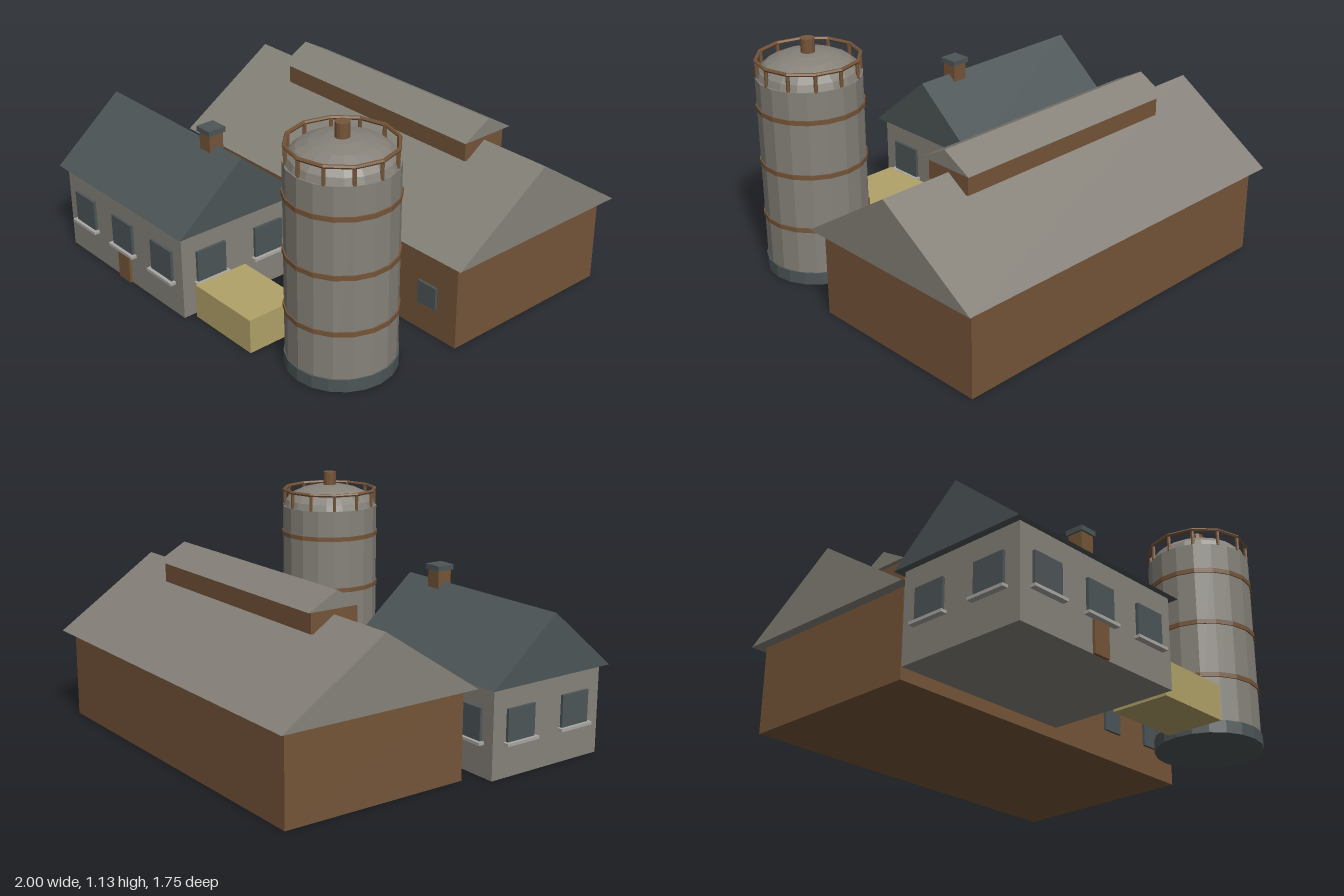
import * as THREE from 'three';

export function createModel() {
  const mat = (name, color) => {
    const m = new THREE.MeshStandardMaterial({ color, flatShading: true });
    m.name = name;
    return m;
  };
  const stone = mat('grey stone', 0x86827a);
  const wood = mat('brown wood', 0x755539);
  const slate = mat('dark slate', 0x4d5557);
  const hay = mat('hay', 0xb2a268);
  const trim = mat('pale trim', 0xa9a7a2);

  const model = new THREE.Group();
  const group = (name) => {
    const g = new THREE.Group();
    g.name = name;
    model.add(g);
    return g;
  };
  const add = (parent, name, geo, material, x = 0, y = 0, z = 0) => {
    const m = new THREE.Mesh(geo, material);
    m.name = name;
    m.position.set(x, y, z);
    parent.add(m);
    return m;
  };
  // box given by its lower and upper corner
  const box = (parent, name, material, x0, x1, y0, y1, z0, z1) =>
    add(parent, name, new THREE.BoxGeometry(x1 - x0, y1 - y0, z1 - z0), material,
      (x0 + x1) / 2, (y0 + y1) / 2, (z0 + z1) / 2);
  // solid gable roof with its ridge along x
  const gable = (parent, name, material, x0, x1, eave, ridge, z0, z1) => {
    const h = (z1 - z0) / 2;
    const s = new THREE.Shape([
      new THREE.Vector2(-h, 0), new THREE.Vector2(h, 0), new THREE.Vector2(0, ridge - eave)]);
    const geo = new THREE.ExtrudeGeometry(s, { depth: x1 - x0, bevelEnabled: false });
    geo.rotateY(Math.PI / 2);
    add(parent, name, geo, material, x0, eave, (z0 + z1) / 2);
  };

  // Barn with a long raised ridge vent
  const barn = group('barn');
  box(barn, 'barnWalls', wood, -0.88, 0.95, 0, 0.425, -0.835, 0.1);
  gable(barn, 'barnRoof', stone, -0.93, 1, 0.425, 0.76, -0.88, 0.14);
  box(barn, 'ridgeVentWalls', wood, -0.578, 0.64, 0.69, 0.79, -0.49, -0.247);
  gable(barn, 'ridgeVentRoof', stone, -0.6, 0.66, 0.79, 0.87, -0.515, -0.225);
  for (let i = 0; i < 6; i++) {
    const x = 0.035 + (i - 2.5) * 0.297;
    box(barn, 'barnWindow', slate, x - 0.055, x + 0.055, 0.145, 0.255, 0.099, 0.113);
  }

  // House
  const house = group('house');
  box(house, 'houseWalls', stone, -0.965, -0.035, 0, 0.425, 0.2, 0.845);
  gable(house, 'houseRoof', slate, -1, 0, 0.425, 0.72, 0.167, 0.873);
  box(house, 'door', wood, -0.545, -0.455, 0, 0.148, 0.844, 0.858);
  box(house, 'chimney', wood, -0.258, -0.182, 0.65, 0.775, 0.482, 0.558);
  box(house, 'chimneyCap', slate, -0.267, -0.173, 0.775, 0.8, 0.473, 0.567);

  // Window with sill, facing along its own +z
  const houseWindow = (x, z, angle) => {
    const g = new THREE.Group();
    g.name = 'houseWindow';
    g.position.set(x, 0, z);
    g.rotation.y = angle;
    house.add(g);
    box(g, 'windowPane', slate, -0.08, 0.08, 0.165, 0.32, -0.001, 0.014);
    box(g, 'windowSill', trim, -0.095, 0.095, 0.154, 0.168, -0.001, 0.03);
  };
  for (const x of [-0.815, -0.5, -0.185]) {
    houseWindow(x, 0.845, 0);
    houseWindow(x, 0.2, Math.PI);
  }
  for (const z of [0.357, 0.688]) {
    houseWindow(-0.035, z, Math.PI / 2);
    houseWindow(-0.965, z, -Math.PI / 2);
  }

  // Hay stack
  box(model, 'hayStack', hay, -0.01, 0.385, 0, 0.167, 0.51, 0.795);

  // Silo
  const silo = group('silo');
  silo.position.set(0.675, 0, 0.522);
  const cyl = (name, material, r, y0, y1, sides) =>
    add(silo, name, new THREE.CylinderGeometry(r, r, y1 - y0, sides), material, 0, (y0 + y1) / 2, 0);
  cyl('siloBase', slate, 0.252, 0, 0.06, 20);
  cyl('siloWall', stone, 0.246, 0.05, 0.963, 18);
  for (const y of [0.283, 0.552, 0.82]) cyl('siloBand', wood, 0.252, y - 0.011, y + 0.011, 18);
  const dome = new THREE.SphereGeometry(0.24, 18, 5, 0, Math.PI * 2, 0, Math.PI / 2);
  dome.scale(1, 0.46, 1);
  add(silo, 'siloDome', dome, stone, 0, 0.96, 0);
  cyl('siloVent', wood, 0.033, 1.05, 1.135, 12);

  // Railing around the dome
  const rail = new THREE.TorusGeometry(0.239, 0.009, 6, 12);
  rail.rotateX(Math.PI / 2);
  add(silo, 'railing', rail, wood, 0, 1.045, 0);
  const post = new THREE.CylinderGeometry(0.009, 0.009, 0.085, 6);
  for (let i = 0; i < 12; i++) {
    const a = (i / 12) * Math.PI * 2;
    add(silo, 'railingPost', post, wood, 0.235 * Math.sin(a), 1.002, 0.235 * Math.cos(a));
  }

  return model;
}
